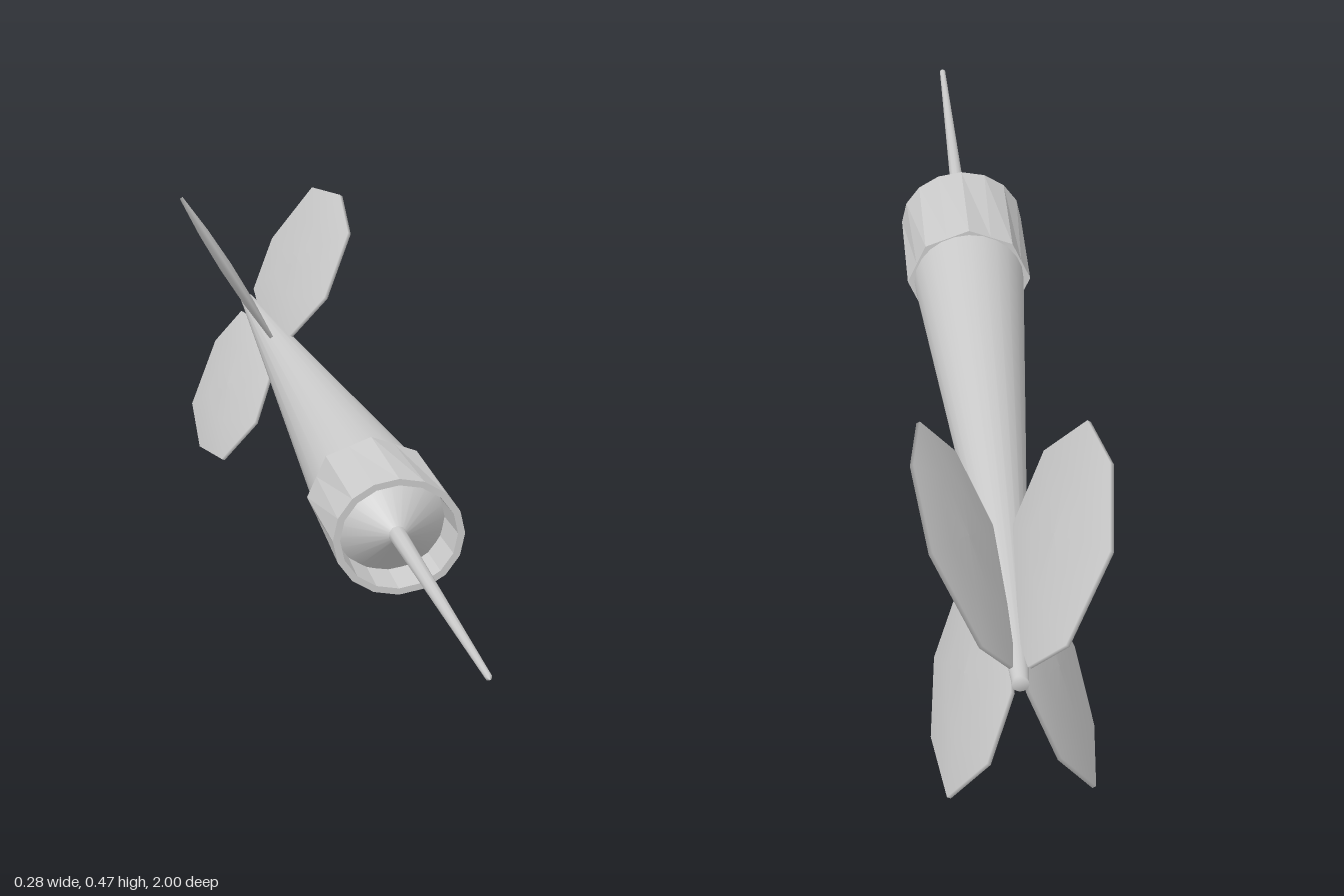
import * as THREE from 'three';

const AXIS_Y = 0.227;
const smooth = new THREE.MeshStandardMaterial({ color: 0xcccccc, side: THREE.DoubleSide });
const faceted = new THREE.MeshStandardMaterial({ color: 0xcccccc, side: THREE.DoubleSide, flatShading: true });

// Turned part along z, from [radius, z] pairs, slightly flattened in y
function turned(name, profile, segments, material, flatten = 0.91) {
  const geo = new THREE.LatheGeometry(profile.map(([r, z]) => new THREE.Vector2(r, z)), segments);
  geo.rotateX(Math.PI / 2);
  geo.scale(1, flatten, 1);
  const mesh = new THREE.Mesh(geo, material);
  mesh.name = name;
  return mesh;
}

// Octagonal lens-shaped blade: rim outline in [z, radial], swelling to the middle
function finGeometry(length) {
  const outline = [[-0.52, 0.48], [-0.59, 0.88], [-0.75, 1], [-0.93, 0.88],
    [-0.995, 0.42], [-0.935, 0.09], [-0.78, 0.01], [-0.59, 0.11]];
  const rings = [[0.01, 0.011], [0.5, 0.009], [1, 0.003], [1, -0.003], [0.5, -0.009], [0.01, -0.011]];
  const n = outline.length, pos = [], index = [];
  const cz = -0.757, cu = 0.5 * length;
  for (const [s, x] of rings) {
    for (const [z, u] of outline) pos.push(x, cu + (u * length - cu) * s, cz + (z - cz) * s);
  }
  for (let r = 0; r < rings.length - 1; r++) {
    for (let i = 0; i < n; i++) {
      const a = r * n + i, b = r * n + (i + 1) % n;
      index.push(a, a + n, b, b, a + n, b + n);
    }
  }
  const geo = new THREE.BufferGeometry();
  geo.setAttribute('position', new THREE.Float32BufferAttribute(pos, 3));
  geo.setIndex(index);
  geo.computeVertexNormals();
  return geo;
}

export function createModel() {
  const dart = new THREE.Group();
  dart.name = 'dart';
  dart.position.y = AXIS_Y;

  // Tapered shaft
  dart.add(turned('shaft', [[0, -0.945], [0.012, -0.945], [0.012, -0.94], [0.09, 0.2], [0.09, 0.21]], 24, smooth, 0.93));

  // Collar: round at the front rim, octagonal at the rear
  const collar = turned('collar',
    [[0.08, 0.2], [0.101, 0.2], [0.101, 0.41], [0.09, 0.41], [0.087, 0.33]], 16, faceted, 0.905);
  const p = collar.geometry.attributes.position;
  for (let i = 0; i < p.count; i++) {
    const odd = Math.floor(i / 5) % 2;
    if (odd && p.getZ(i) < 0.3) p.setXY(i, p.getX(i) * 0.924, p.getY(i) * 0.924);
  }
  dart.add(collar);

  // Recessed cone inside the collar, and the needle
  dart.add(turned('noseCone', [[0.088, 0.33], [0.013, 0.4]], 24, smooth));
  const needle = turned('needle', [[0.014, 0.38], [0.012, 0.5], [0.005, 0.99], [0, 1]], 10, smooth, 1);
  dart.add(needle);

  // Four fins, each given by its tip offset from the axis
  const tips = [['upperLeftFin', 0.138, 0.238], ['upperRightFin', -0.14, 0.23],
    ['lowerLeftFin', 0.112, -0.227], ['lowerRightFin', -0.12, -0.217]];
  for (const [name, x, y] of tips) {
    const fin = new THREE.Mesh(finGeometry(Math.hypot(x, y)), smooth);
    fin.name = name;
    fin.rotation.z = Math.atan2(-x, y);
    dart.add(fin);
  }

  const model = new THREE.Group();
  model.add(dart);
  return model;
}
